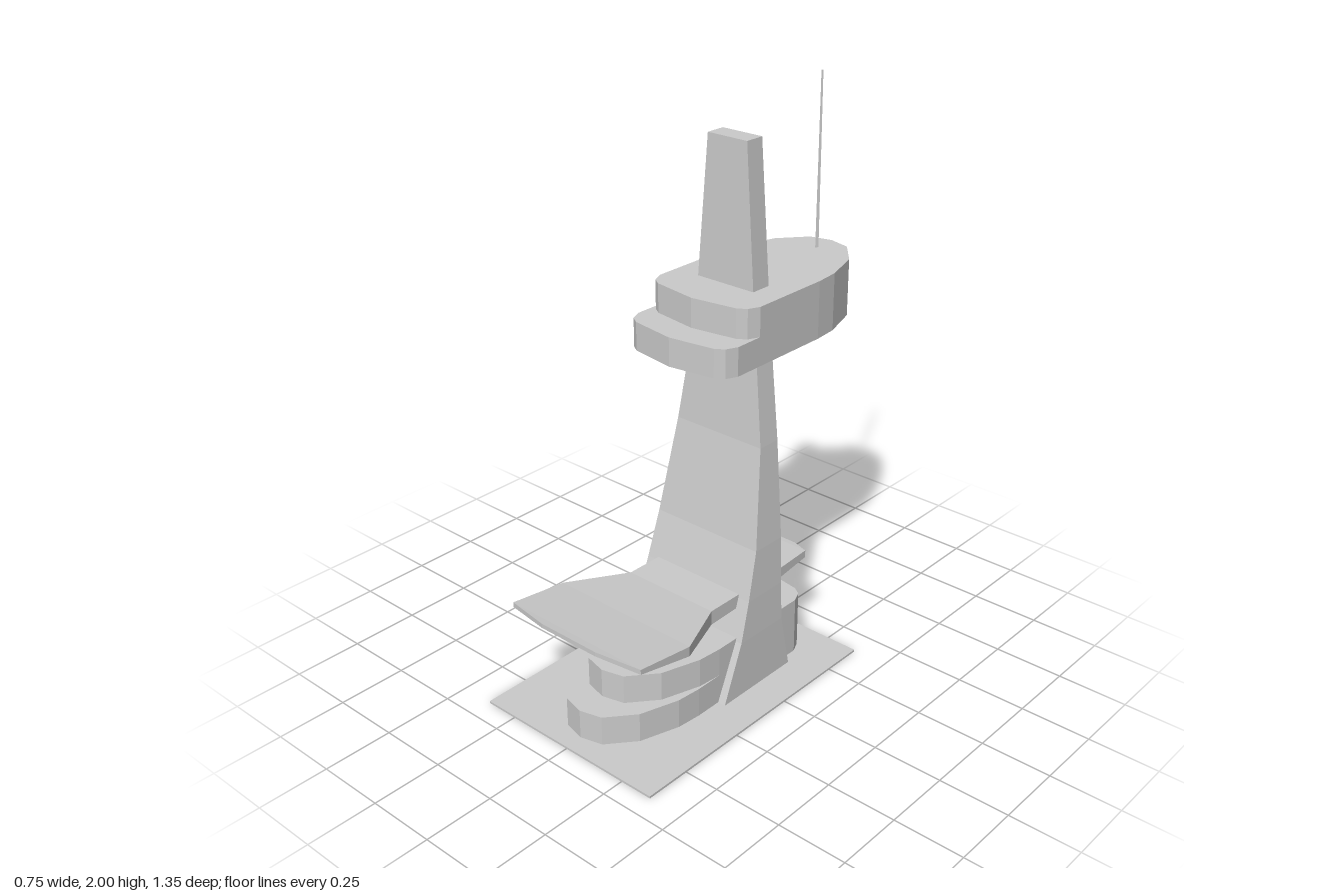
import * as THREE from 'three';

const material = new THREE.MeshStandardMaterial({ color: 0xcccccc, flatShading: true });

function part(name, geometry) {
  const mesh = new THREE.Mesh(geometry, material);
  mesh.name = name;
  return mesh;
}

// Skin four-cornered rings (counter-clockwise seen from the last ring's end) and cap both ends
function loft(rings) {
  const index = [];
  for (let i = 0; i < rings.length - 1; i++) {
    for (let j = 0; j < 4; j++) {
      const a = i * 4 + j, b = i * 4 + (j + 1) % 4;
      index.push(a, b, b + 4, a, b + 4, a + 4);
    }
  }
  const e = (rings.length - 1) * 4;
  index.push(0, 2, 1, 0, 3, 2, e, e + 1, e + 2, e, e + 2, e + 3);
  const geometry = new THREE.BufferGeometry();
  geometry.setAttribute('position', new THREE.Float32BufferAttribute(rings.flat(2), 3));
  geometry.setIndex(index);
  const flat = geometry.toNonIndexed();
  flat.computeVertexNormals();
  return flat;
}

// Deck with one rounded end and one blunt end, running along z
function deck(roundZ, bluntZ, y0, y1) {
  const s = Math.sign(bluntZ - roundZ);
  const half = [
    [0.08, roundZ + s * 0.02], [0.16, roundZ + s * 0.115],
    [0.205, roundZ + s * 0.255], [0.213, roundZ + s * 0.345],
    [0.213, bluntZ - s * 0.085], [0.195, bluntZ - s * 0.045], [0.165, bluntZ - s * 0.025],
  ];
  const outline = [[0, roundZ], ...half, [0, bluntZ], ...half.map(([x, z]) => [-x, z]).reverse()];
  const shape = new THREE.Shape(outline.map(([x, z]) => new THREE.Vector2(x, z)));
  const geometry = new THREE.ExtrudeGeometry(shape, { depth: y1 - y0, bevelEnabled: false });
  return geometry.rotateX(Math.PI / 2).translate(0, y1, 0);
}

export function createModel() {
  const model = new THREE.Group();
  model.name = 'controlTower';

  // Ground plate
  model.add(part('basePlate', new THREE.BoxGeometry(0.746, 0.008, 1.067).translate(0, 0.004, 0.137)));

  // Stepped entrance building, rounded towards the front
  model.add(part('lowerBaseDeck', deck(0.605, -0.335, 0.006, 0.115)));
  model.add(part('upperBaseDeck', deck(0.5, -0.335, 0.115, 0.22)));

  // Curved, tapering shaft: height, half width, front z, back z
  const shaft = [
    [0, 0.243, 0.165, -0.182], [0.21, 0.238, 0.072, -0.142], [0.35, 0.231, 0.028, -0.144],
    [0.52, 0.22, -0.02, -0.152], [0.87, 0.182, -0.08, -0.168], [1.19, 0.138, -0.104, -0.183],
    [1.39, 0.117, -0.11, -0.187], [1.875, 0.08, -0.115, -0.187],
  ];
  model.add(part('shaft', loft(shaft.map(([y, w, f, b]) =>
    [[-w, y, f], [w, y, f], [w, y, b], [-w, y, b]]))));

  // Swept canopy passing through the shaft: z, half width, underside y, top y
  const canopy = [
    [-0.385, 0.1, 0.326, 0.35], [-0.363, 0.165, 0.325, 0.352], [-0.145, 0.185, 0.318, 0.36],
    [0.165, 0.185, 0.31, 0.362], [0.388, 0.288, 0.346, 0.382],
    [0.612, 0.288, 0.393, 0.411], [0.642, 0.12, 0.4, 0.416],
  ];
  model.add(part('canopy', loft(canopy.map(([z, w, b, t]) =>
    [[-w, b, z], [w, b, z], [w, t, z], [-w, t, z]]))));

  // Two-step cabin at the top, rounded towards the back
  model.add(part('lowerCabin', deck(-0.675, 0.16, 1.19, 1.29)));
  model.add(part('upperCabin', deck(-0.675, 0.055, 1.29, 1.392)));

  // Antenna mast
  const mast = part('antenna', new THREE.CylinderGeometry(0.004, 0.007, 0.61, 3));
  mast.position.set(0.004, 1.695, -0.583);
  model.add(mast);

  return model;
}
